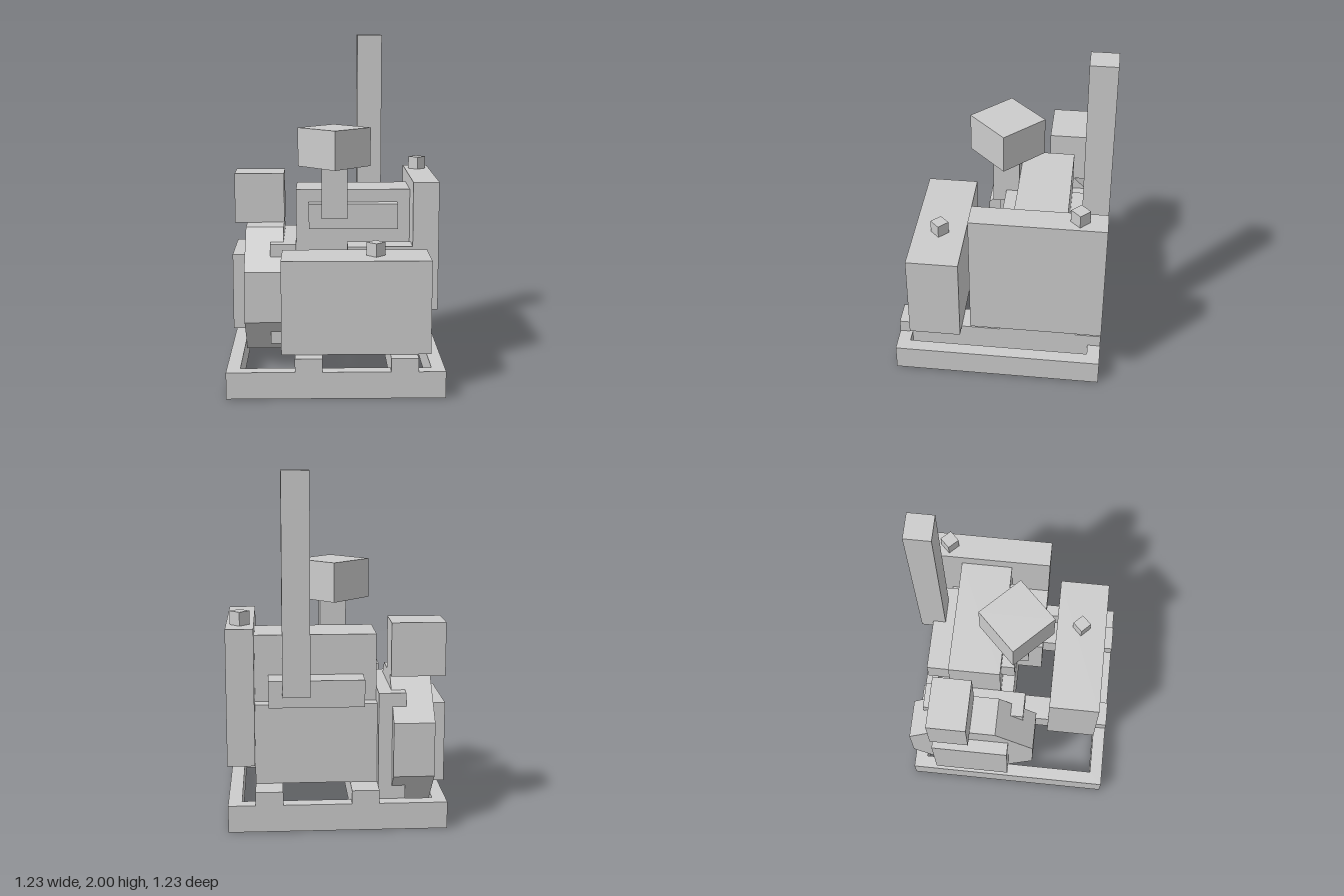
import * as THREE from 'three';

const U = 1 / 13; // modelling grid unit

export function createModel() {
  const model = new THREE.Group();
  model.name = 'generator';
  const material = new THREE.MeshStandardMaterial({ color: 0xcccccc, flatShading: true });

  const add = (name, geometry) => {
    const mesh = new THREE.Mesh(geometry, material);
    mesh.name = name;
    model.add(mesh);
    return mesh;
  };

  // Box given by its min and max corners in grid units
  const box = (name, [x0, x1], [y0, y1], [z0, z1], turn = 0) => {
    const mesh = add(name, new THREE.BoxGeometry((x1 - x0) * U, (y1 - y0) * U, (z1 - z0) * U));
    mesh.position.set(((x0 + x1) / 2) * U, ((y0 + y1) / 2) * U, ((z0 + z1) / 2) * U);
    mesh.rotation.y = turn;
    return mesh;
  };

  const polygon = (Type, points) => new Type(points.map(([a, b]) => new THREE.Vector2(a * U, b * U)));
  const square = (h) => [[-h, -h], [h, -h], [h, h], [-h, h]];

  // Base frame: square ring with two cross rails
  const ring = polygon(THREE.Shape, square(8));
  ring.holes.push(polygon(THREE.Path, square(7)));
  const frame = add('baseFrame', new THREE.ExtrudeGeometry(ring, { depth: 2 * U, bevelEnabled: false }));
  frame.rotation.x = -Math.PI / 2;
  for (const x of [-3, 4]) box('crossRail', [x, x + 2], [1, 3], [-8, 8]);

  // Fuel tank at the front
  box('fuelTank', [-4, 7], [3, 10], [3, 7]);
  box('fuelCap', [2.5, 3.5], [10, 11], [4.5, 5.5], Math.PI / 4);

  // Radiator on the left side
  box('radiator', [6, 8], [5, 15], [-8, 2]);
  box('radiatorCap', [6.5, 7.5], [15, 16], [-6.5, -5.5], Math.PI / 4);

  // Engine block with its manifolds
  box('engineBlock', [-3, 6], [3, 9], [-6, 0]);
  box('cylinderHead', [-3, 6], [9, 14], [-5, -1]);
  box('sidePump', [1, 6], [5, 10], [0, 2]);
  box('intakeManifold', [-2, 5], [11, 13], [-1, 0]);
  box('exhaustManifold', [-2, 5], [9, 11], [-7, -5]);
  box('exhaustStack', [2, 4], [10, 26], [-8, -6]);

  // Air intake with a turned filter box
  box('intakePipe', [-1, 1], [12, 16], [-1, 1]);
  box('airFilter', [-2, 2], [16, 19], [-2, 2], Math.PI / 4);

  // Eight-sided alternator drum, its mount and end cover
  const octagon = polygon(THREE.Shape, [[-2, -5], [2, -5], [5, -2], [5, 2], [2, 5], [-2, 5], [-5, 2], [-5, -2]]);
  const drum = add('alternatorDrum', new THREE.ExtrudeGeometry(octagon, { depth: 3 * U, bevelEnabled: false }));
  drum.rotation.y = Math.PI / 2;
  drum.position.set(-7 * U, 6 * U, -3 * U);
  box('alternatorMount', [-5, -3], [2, 10], [-7, 1]);
  box('alternatorCover', [-8, -7], [3, 9], [-6, 0]);
  box('controlBox', [-8, -4], [11, 15], [-6, -3]);

  return model;
}
